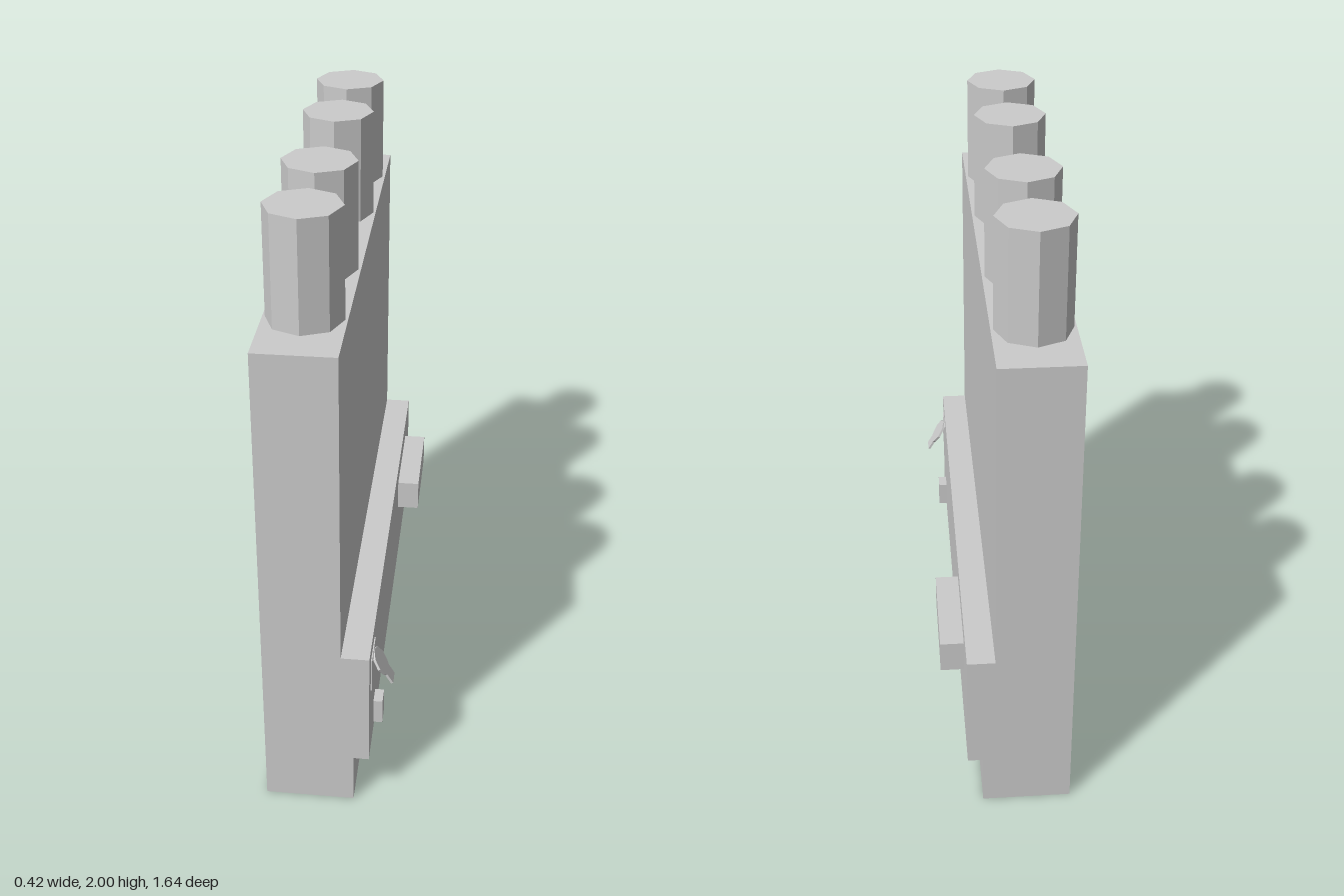
import * as THREE from 'three';

const material = new THREE.MeshStandardMaterial({ color: 0xcccccc, flatShading: true });

function addPart(group, name, geometry, x = 0, y = 0, z = 0) {
  const mesh = new THREE.Mesh(geometry, material);
  mesh.name = name;
  mesh.position.set(x, y, z);
  group.add(mesh);
  return mesh;
}

// Box given by its lower and upper corners
function addBox(group, name, [x0, y0, z0], [x1, y1, z1]) {
  return addPart(group, name, new THREE.BoxGeometry(x1 - x0, y1 - y0, z1 - z0),
    (x0 + x1) / 2, (y0 + y1) / 2, (z0 + z1) / 2);
}

function shapeFrom(points) {
  return new THREE.Shape(points.map(([x, y]) => new THREE.Vector2(x, y)));
}

export function createModel() {
  const model = new THREE.Group();
  model.name = 'panelWithPosts';

  // Slab with a projecting lower band above a recessed plinth
  const profile = shapeFrom([
    [-0.21, 0], [0.08, 0], [0.08, 0.18], [0.13, 0.18],
    [0.13, 0.595], [0.04, 0.595], [0.04, 1.65], [-0.21, 1.65],
  ]);
  const depth = 1.64;
  const body = new THREE.ExtrudeGeometry(profile, { depth, bevelEnabled: false });
  addPart(model, 'body', body, 0, 0, -depth / 2);

  // Octagonal posts along the top
  const postGeometry = new THREE.CylinderGeometry(0.117, 0.117, 0.35, 8);
  [-0.59, -0.24, 0.23, 0.585].forEach((z, i) => {
    addPart(model, `post${i + 1}`, postGeometry, -0.085, 1.825, z);
  });

  // Fittings on the lower band
  addBox(model, 'handleBlock', [0.125, 0.42, -0.645], [0.207, 0.53, -0.295]);
  addBox(model, 'smallButton', [0.125, 0.205, 0.61], [0.16, 0.295, 0.67]);
  addBox(model, 'latchPlate', [0.12, 0.43, 0.65], [0.134, 0.55, 0.77]);

  // Tilted latch: faceted disc with a square tab at its lower end
  const outline = [[-0.025, -0.08], [0.025, -0.08], [0.025, -0.042]];
  for (let i = 0; i <= 6; i++) {
    const a = -Math.PI / 4 + (i / 6) * Math.PI * 1.5;
    outline.push([0.047 * Math.cos(a), 0.047 * Math.sin(a)]);
  }
  outline.push([-0.025, -0.042]);
  const latch = new THREE.Group();
  latch.name = 'latch';
  latch.position.set(0.155, 0.5, 0.705);
  latch.rotation.z = 0.53;
  const lever = addPart(latch, 'latchLever',
    new THREE.ExtrudeGeometry(shapeFrom(outline), { depth: 0.008, bevelEnabled: false }), -0.004);
  lever.rotation.y = Math.PI / 2;
  model.add(latch);

  return model;
}
